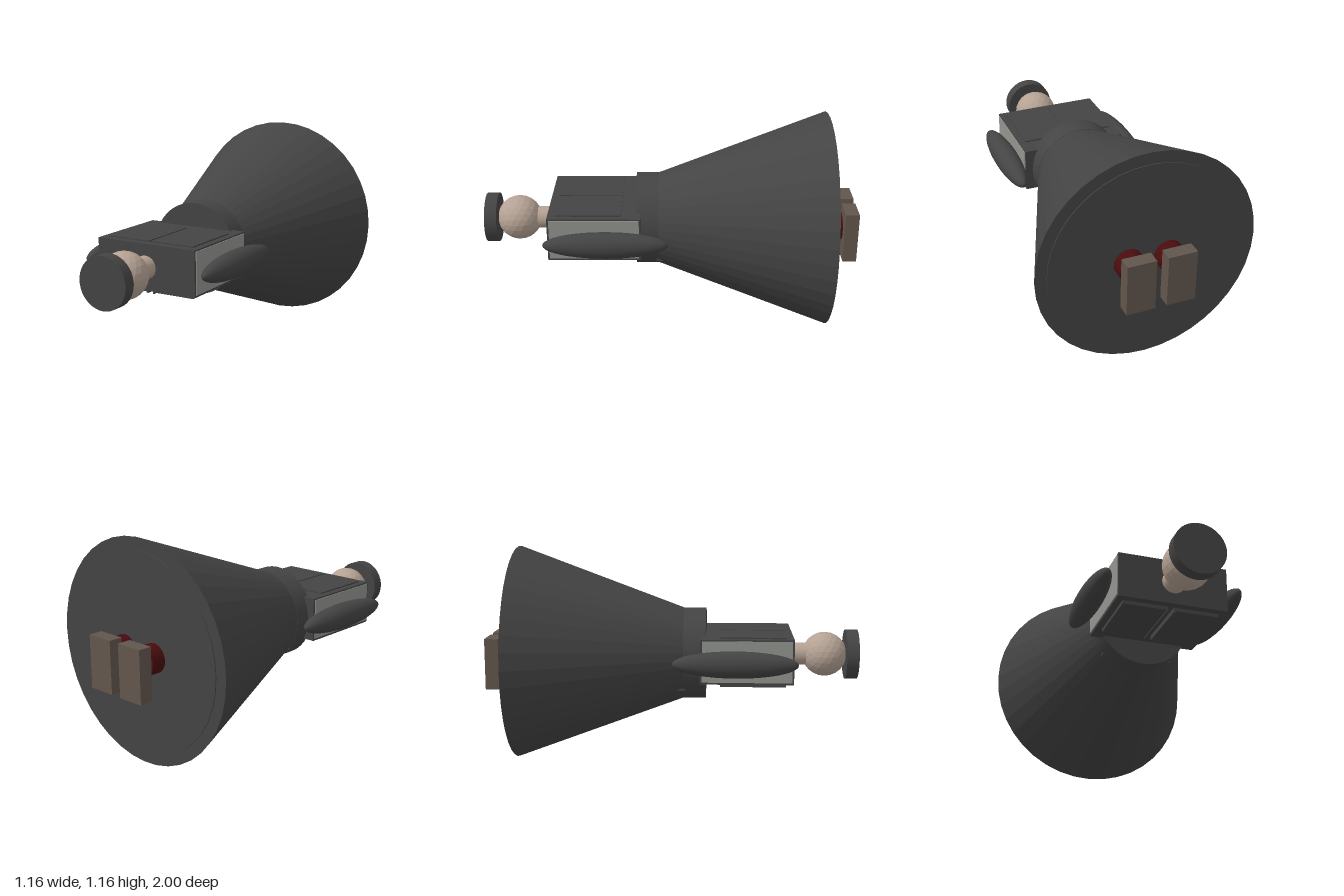
import * as THREE from 'three';

const CY = 0.58; // height of the body axis
const paint = (color, flatShading = false) => new THREE.MeshStandardMaterial({ color, flatShading });

export function createModel() {
  const group = new THREE.Group();
  const dark = paint(0x444444), darkFlat = paint(0x444444, true);
  const skin = paint(0xb5a294, true), skinSmooth = paint(0xb5a294);
  const red = paint(0x4a0c0e), shoe = paint(0x62564c), pale = paint(0x92948e);

  const add = (name, geometry, material, x, y, z) => {
    const mesh = new THREE.Mesh(geometry, material);
    mesh.name = name;
    mesh.position.set(x, y, z);
    group.add(mesh);
    return mesh;
  };
  // Box given by its limits on each axis
  const box = (name, material, x0, x1, y0, y1, z0, z1) =>
    add(name, new THREE.BoxGeometry(x1 - x0, y1 - y0, z1 - z0), material,
      (x0 + x1) / 2, (y0 + y1) / 2, (z0 + z1) / 2);
  // Cylinder lying along z, from back to front
  const rod = (name, material, rBack, rFront, z0, z1, x = 0, sides = 40) =>
    add(name, new THREE.CylinderGeometry(rFront, rBack, z1 - z0, sides).rotateX(Math.PI / 2),
      material, x, CY, (z0 + z1) / 2);

  // Hat, head and neck
  rod('hat', dark, 0.133, 0.133, 0.935, 1);
  add('head', new THREE.IcosahedronGeometry(0.12, 3), skin, 0, CY, 0.825);
  rod('neck', skinSmooth, 0.06, 0.06, 0.6, 0.74, 0, 32);

  // Torso
  box('torso', dark, -0.285, 0.285, 0.463, 0.7, 0.155, 0.645);

  // Waistband, skirt and the disc closing it
  rod('waistband', dark, 0.247, 0.247, 0.065, 0.183);
  rod('skirt', darkFlat, 0.578, 0.24, -0.835, 0.08);
  rod('skirtBase', dark, 0.517, 0.517, -0.84, -0.8);

  for (const s of [-1, 1]) {
    const side = s > 0 ? 'left' : 'right';
    const sided = (name, material, a, b, ...rest) =>
      box(side + name, material, Math.min(s * a, s * b), Math.max(s * a, s * b), ...rest);

    // Pale plates and thin cover panels on the torso
    sided('SidePlate', pale, 0.27, 0.289, 0.474, 0.692, 0.165, 0.635);
    sided('TopPanel', dark, 0.006, 0.25, 0.69, 0.707, 0.26, 0.605);
    sided('BottomPanel', dark, 0.024, 0.25, 0.444, 0.48, 0.26, 0.605);
    sided('BottomRib', dark, 0.014, 0.024, 0.437, 0.48, 0.26, 0.605);
    sided('SkirtStud', dark, 0.18, 0.191, 0.407, 0.42, 0.03, 0.075);

    // Arm: a long ellipsoid with its poles at front and back
    const arm = add(side + 'Arm', new THREE.SphereGeometry(1, 32, 20).rotateX(Math.PI / 2),
      dark, s * 0.343, CY, 0.338);
    arm.scale.set(0.065, 0.07, 0.326);

    // Leg and foot
    rod(side + 'Leg', red, 0.075, 0.075, -0.915, -0.82, s * 0.105, 32);
    sided('Foot', shoe, 0.03, 0.18, 0.4, 0.675, -1, -0.927);
  }
  return group;
}
